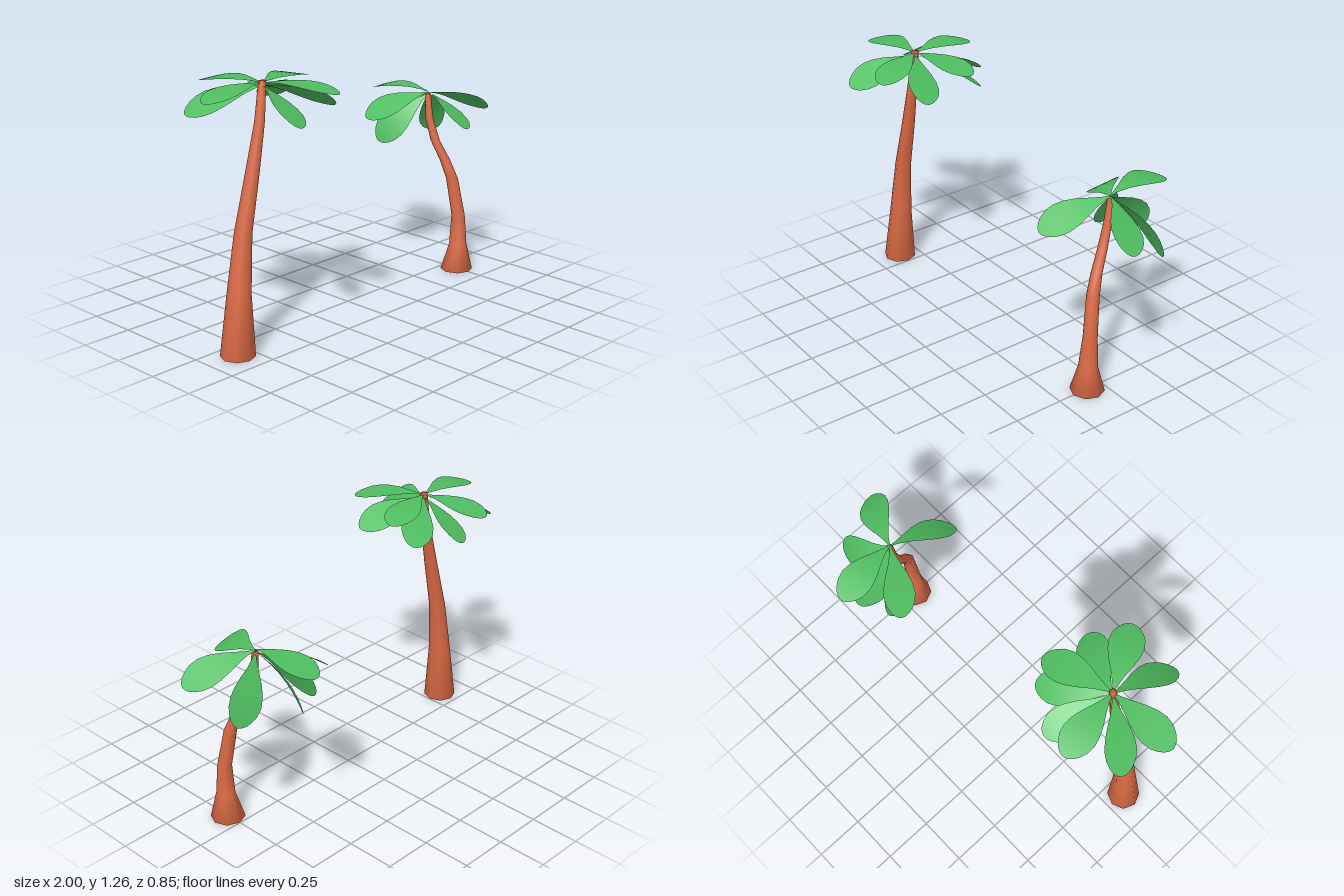
import * as THREE from 'three';
import { mergeVertices } from 'three/addons/utils/BufferGeometryUtils.js';

const bark = new THREE.MeshStandardMaterial({ color: 0xdb6a45 });
bark.name = 'bark';
const leafGreen = new THREE.MeshStandardMaterial({ color: 0x4fbd60, side: THREE.DoubleSide });
leafGreen.name = 'leafGreen';

// Bent, tapering trunk through rings of [x, y, z, radius], smooth over its caps
function trunk(rings) {
  const n = rings.length - 1;
  const geo = new THREE.CylinderGeometry(1, 1, 1, 8, n);
  const p = geo.attributes.position;
  for (let i = 0; i < p.count; i++) {
    const [x, y, z, r] = rings[Math.round((0.5 + p.getY(i)) * n)];
    p.setXYZ(i, x + p.getX(i) * r, y, z + p.getZ(i) * r);
  }
  geo.deleteAttribute('uv');
  geo.deleteAttribute('normal');
  const smooth = mergeVertices(geo, 1e-5);
  smooth.computeVertexNormals();
  const mesh = new THREE.Mesh(smooth, bark);
  mesh.name = 'trunk';
  return mesh;
}

// Leaf outline: [fraction of length, half width]
const OUTLINE = [[0, 0.004], [0.1, 0.012], [0.25, 0.033], [0.4, 0.058], [0.55, 0.077], [0.68, 0.084],
  [0.8, 0.077], [0.89, 0.06], [0.95, 0.041], [0.985, 0.022], [1, 0.001]];

// Arched leaf blade from root to tip, rolled about its length by twist
function leaf(root, tip, arch, twist) {
  const a = new THREE.Vector3(...root);
  const d = new THREE.Vector3(...tip).sub(a);
  const across = new THREE.Vector3(-d.z, 0, d.x).normalize();
  const normal = across.clone().cross(d).normalize();
  across.applyAxisAngle(d.clone().normalize(), twist);
  normal.applyAxisAngle(d.clone().normalize(), twist);
  const cols = 4;
  const geo = new THREE.PlaneGeometry(2, 1, cols, OUTLINE.length - 1);
  const p = geo.attributes.position;
  const v = new THREE.Vector3();
  for (let i = 0; i < p.count; i++) {
    const [t, w] = OUTLINE[OUTLINE.length - 1 - Math.floor(i / (cols + 1))];
    v.copy(a).addScaledVector(d, t)
      .addScaledVector(normal, arch * 4 * t * (1 - t))
      .addScaledVector(across, p.getX(i) * w);
    p.setXYZ(i, v.x, v.y, v.z);
  }
  geo.computeVertexNormals();
  const mesh = new THREE.Mesh(geo, leafGreen);
  mesh.name = 'leaf';
  return mesh;
}

// Palm from a trunk and layers of leaves that share height, arch and twist
function palm(name, rings, layers) {
  const group = new THREE.Group();
  group.name = name;
  group.add(trunk(rings));
  const [cx, , cz] = rings[rings.length - 1];
  for (const { rootY, tipY, arch, twist, tips } of layers) {
    for (const [x, z] of tips) group.add(leaf([cx, rootY, cz], [x, tipY, z], arch, twist));
  }
  return group;
}

export function createModel() {
  const model = new THREE.Group();
  model.name = 'palmTrees';

  model.add(palm('tallPalm', [
    [-0.835, 0, 0.105, 0.083], [-0.815, 0.3, 0.1, 0.057], [-0.78, 0.58, 0.097, 0.042],
    [-0.715, 0.85, 0.095, 0.033], [-0.665, 1.08, 0.095, 0.024], [-0.64, 1.262, 0.09, 0.018],
  ], [
    // upper, nearly level leaves
    { rootY: 1.252, tipY: 1.22, arch: 0.022, twist: 0,
      tips: [[-0.295, -0.01], [-0.695, -0.267], [-1, 0.11], [-0.46, 0.398]] },
    // lower, drooping leaves
    { rootY: 1.24, tipY: 1.122, arch: 0.02, twist: -0.42,
      tips: [[-0.735, 0.42], [-0.33, 0.24], [-0.92, -0.12], [-0.545, -0.24], [-0.345, -0.1]] },
  ]));

  model.add(palm('shortPalm', [
    [0.75, 0, 0.085, 0.084], [0.755, 0.14, 0.088, 0.046], [0.758, 0.3, 0.083, 0.035],
    [0.735, 0.5, 0.055, 0.031], [0.715, 0.6, 0.02, 0.027], [0.692, 0.7, -0.03, 0.024],
    [0.682, 0.82, -0.065, 0.02], [0.682, 0.945, -0.077, 0.015],
  ], [
    // top level leaf
    { rootY: 0.957, tipY: 0.93, arch: 0.032, twist: 0, tips: [[0.64, -0.43]] },
    // middle leaves
    { rootY: 0.952, tipY: 0.835, arch: 0.025, twist: -0.42,
      tips: [[0.405, -0.26], [0.997, 0.065], [0.585, 0.258]] },
    // steep hanging leaves
    { rootY: 0.945, tipY: 0.7, arch: 0.03, twist: -0.85,
      tips: [[0.915, -0.2], [0.63, -0.33], [0.485, -0.25]] },
  ]));

  return model;
}
